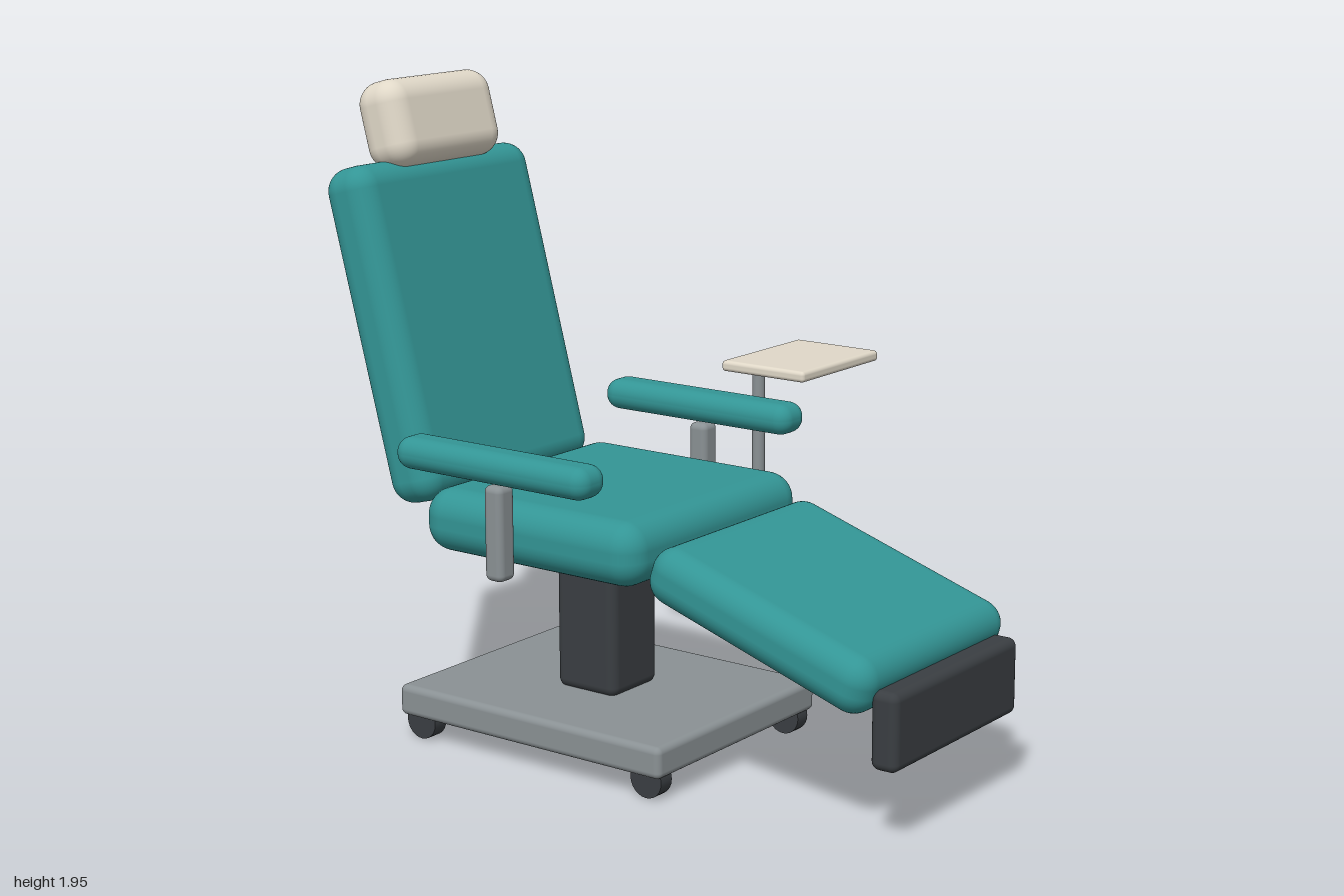
import * as THREE from 'three';
import { RoundedBoxGeometry } from 'three/addons/geometries/RoundedBoxGeometry.js';

const material = (color) => new THREE.MeshStandardMaterial({ color });

export function createModel() {
  const model = new THREE.Group();
  model.name = 'recliningTreatmentChair';

  const teal = material(0x339595);
  const cream = material(0xe0d8c8);
  const metal = material(0x8a9194);
  const dark = material(0x3a3e42);

  // The chair's own centre line; the side tray offsets it from x = 0.
  const cx = -0.22;

  function add(name, geometry, mat, x, y, z, tilt = 0) {
    const mesh = new THREE.Mesh(geometry, mat);
    mesh.name = name;
    mesh.position.set(x, y, z);
    mesh.rotation.x = tilt;
    model.add(mesh);
    return mesh;
  }
  const box = (name, mat, [w, h, d], r, [x, y, z], tilt) =>
    add(name, new RoundedBoxGeometry(w, h, d, 5, r), mat, x, y, z, tilt);

  // Base plate and lifting column
  box('basePlate', metal, [0.78, 0.095, 0.98], 0.02, [cx, 0.1175, -0.23]);
  box('column', dark, [0.22, 0.42, 0.22], 0.03, [cx, 0.368, -0.23]);

  // Casters under the four corners
  const wheel = new THREE.CylinderGeometry(0.055, 0.055, 0.05, 24).rotateZ(Math.PI / 2);
  for (const side of [-1, 1]) {
    for (const z of [0.195, -0.655]) add('caster', wheel, dark, cx + side * 0.34, 0.055, z);
  }

  // Cushions
  const lean = -0.26;
  box('seat', teal, [0.84, 0.19, 0.79], 0.08, [cx, 0.702, -0.205]);
  box('backrest', teal, [0.78, 1.01, 0.18], 0.07, [cx, 1.215, -0.788], lean);
  box('headrest', cream, [0.475, 0.265, 0.175], 0.07, [cx, 1.815, -0.895], lean);
  box('legRest', teal, [0.755, 0.17, 0.77], 0.07, [cx, 0.556, 0.562], 0.31);
  box('footPlate', dark, [0.645, 0.225, 0.085], 0.025, [cx, 0.34, 0.957]);

  // Support bar behind the backrest
  box('backSupport', metal, [0.1, 0.58, 0.06], 0.015, [cx, 0.966, -0.844], lean);

  // Armrests on posts
  for (const side of [-1, 1]) {
    const x = cx + side * 0.485;
    box('armrest', teal, [0.125, 0.095, 0.7], 0.045, [x, 0.931, -0.23]);
    box('armrestPost', metal, [0.07, 0.28, 0.065], 0.02, [x, 0.738, -0.23]);
  }

  // Side tray on its pole
  box('tray', cream, [0.42, 0.034, 0.308], 0.012, [0.552, 1.043, -0.063]);
  add('trayPole', new THREE.CylinderGeometry(0.02, 0.02, 0.48, 20), metal, 0.44, 0.79, -0.143);

  return model;
}
